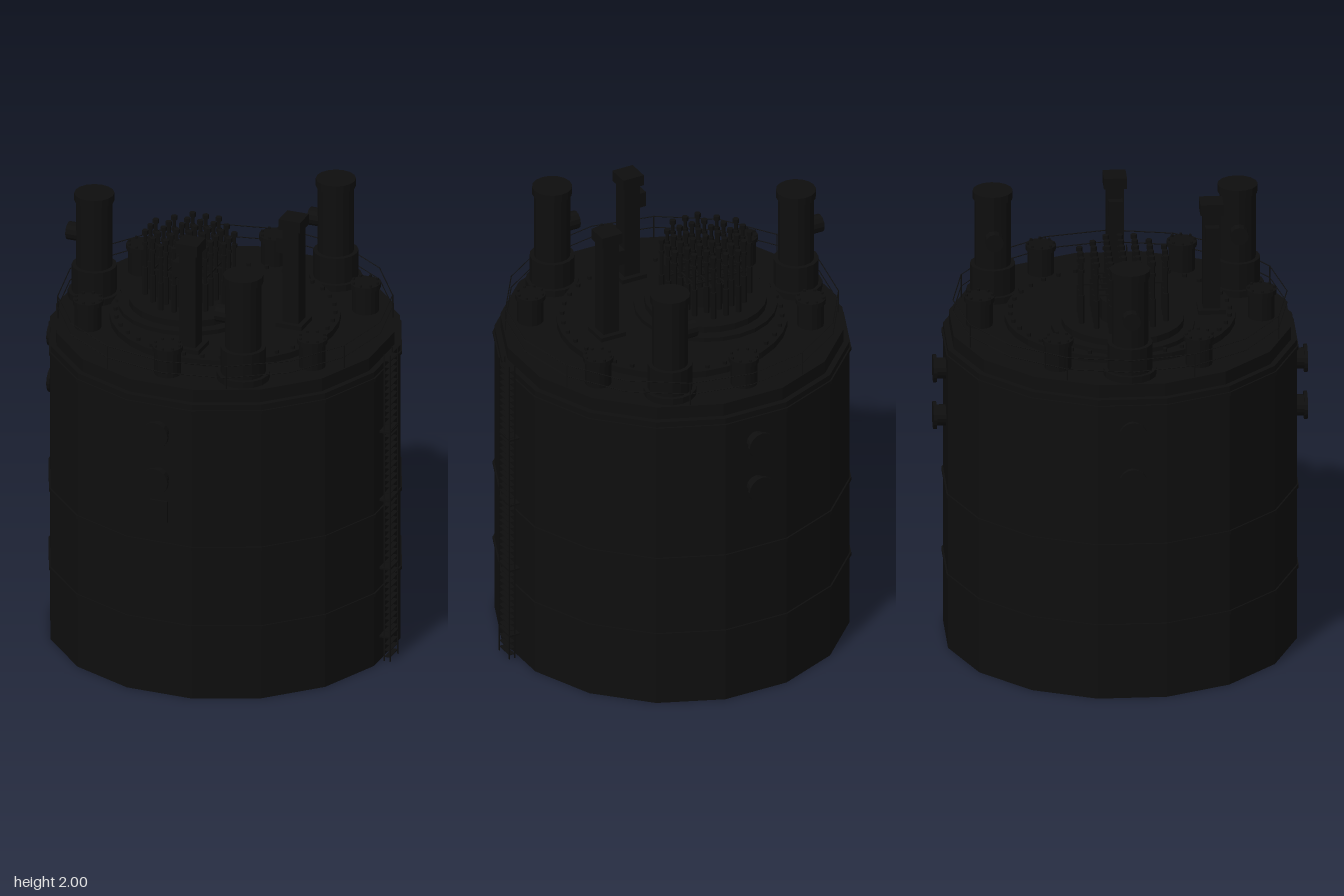
import * as THREE from 'three';

export function createModel() {
  const model = new THREE.Group();
  model.name = 'reactorVessel';
  const black = new THREE.MeshStandardMaterial({ color: 0x0e0e0e, flatShading: true });
  black.name = 'charcoal';

  const add = (name, geo, x = 0, y = 0, z = 0, parent = model) => {
    const m = new THREE.Mesh(geo, black);
    m.name = name;
    m.position.set(x, y, z);
    parent.add(m);
    return m;
  };
  const group = (name, x = 0, y = 0, z = 0) => {
    const g = new THREE.Group();
    g.name = name;
    g.position.set(x, y, z);
    model.add(g);
    return g;
  };
  // upright cylinder from y0 to y1
  const cyl = (name, r, y0, y1, x = 0, z = 0, sides = 16, parent = model) =>
    add(name, new THREE.CylinderGeometry(r, r, y1 - y0, sides), x, (y0 + y1) / 2, z, parent);
  const box = (name, w, h, d, x, y, z, parent = model) =>
    add(name, new THREE.BoxGeometry(w, h, d), x, y, z, parent);

  // sixteen-sided shell with flats facing the axes
  const half = Math.PI / 16;
  const shell = (name, apothem, y0, y1) => {
    cyl(name, apothem / Math.cos(half), y0, y1).rotation.y = half;
  };
  shell('vesselBody', 0.755, 0, 1.4);
  shell('topStep', 0.73, 1.4, 1.46);
  for (const y of [0.34, 0.715, 1.365]) shell('shellBand', 0.762, y - 0.008, y + 0.008);

  // bolted deck cover and offset plug
  cyl('deckCover', 0.5, 1.46, 1.49, 0, 0, 32);
  for (let i = 0; i < 36; i++) {
    const a = (i / 36) * Math.PI * 2;
    cyl('coverBolt', 0.01, 1.49, 1.505, 0.475 * Math.cos(a), 0.475 * Math.sin(a), 6);
  }
  const px = -0.165;
  cyl('plugRing', 0.31, 1.46, 1.51, px, 0, 24);
  cyl('plug', 0.265, 1.51, 1.54, px, 0, 24);
  cyl('plugHub', 0.1, 1.54, 1.635, px, 0, 16);

  // control rod drives on a round grid, with a guide plate
  for (let i = -3; i <= 3; i++) {
    for (let j = -3; j <= 3; j++) {
      if (i * i + j * j > 10) continue;
      const g = group('controlRod', px + i * 0.061, 0, j * 0.061);
      cyl('rodHousing', 0.013, 1.54, 1.67, 0, 0, 6, g);
      cyl('rodShaft', 0.008, 1.67, 1.84, 0, 0, 6, g);
      cyl('rodCollar', 0.013, 1.775, 1.79, 0, 0, 6, g);
      cyl('rodHead', 0.014, 1.825, 1.845, 0, 0, 6, g);
    }
  }
  for (let i = -3; i <= 3; i++) {
    const len = 0.122 * Math.sqrt(10 - i * i) - 0.01;
    const n = 2 * Math.floor(len / 0.122) * 0.061;
    box('guideBarX', n, 0.008, 0.006, px, 1.693, i * 0.061);
    box('guideBarZ', 0.006, 0.008, n, px + i * 0.061, 1.693, 0);
  }

  // tall round pump stacks with a side port
  for (const [x, z] of [[-0.61, 0], [0.3, 0.53], [0.3, -0.53]]) {
    const g = group('pumpStack', x, 0, z);
    cyl('stackFoot', 0.115, 1.46, 1.49, 0, 0, 16, g);
    cyl('stackBase', 0.098, 1.49, 1.61, 0, 0, 16, g);
    cyl('stackTube', 0.079, 1.61, 1.92, 0, 0, 16, g);
    cyl('stackCap', 0.087, 1.915, 1.95, 0, 0, 16, g);
    add('stackPort', new THREE.CylinderGeometry(0.04, 0.04, 0.06, 12), -0.09, 1.75, 0, g)
      .rotation.z = Math.PI / 2;
  }

  // square vent shafts
  for (const [x, z] of [[0, 0.395], [0.32, 0]]) {
    const g = group('ventShaft', x, 0, z);
    box('ventFoot', 0.12, 0.05, 0.12, 0, 1.485, 0, g);
    box('ventColumn', 0.076, 0.46, 0.076, 0, 1.73, 0, g);
    box('ventHead', 0.1, 0.05, 0.1, 0, 1.975, 0, g);
    box('ventPort', 0.04, 0.07, 0.06, -0.052, 1.865, 0, g);
  }

  // low drums with bolted lids
  for (const [x, z] of [[-0.02, 0.61], [0.53, 0.305], [-0.515, 0.305]]) {
    for (const s of [-1, 1]) {
      const g = group('drum', x, 0, z * s);
      cyl('drumBody', 0.058, 1.46, 1.57, 0, 0, 16, g);
      cyl('drumLid', 0.066, 1.57, 1.592, 0, 0, 16, g);
      for (let i = 0; i < 8; i++) {
        const a = (i / 8) * Math.PI * 2;
        cyl('lidBolt', 0.006, 1.592, 1.602, 0.056 * Math.cos(a), 0.056 * Math.sin(a), 6, g);
      }
    }
  }

  // paired wall nozzles on the front, back and right
  for (const a of [0, Math.PI, -Math.PI / 2]) {
    const g = group('wallNozzles');
    g.rotation.y = a;
    for (const y of [1.03, 1.25]) {
      const tube = (name, r, z0, z1) => {
        add(name, new THREE.CylinderGeometry(r, r, z1 - z0, 16), 0, y, (z0 + z1) / 2, g)
          .rotation.x = Math.PI / 2;
      };
      tube('nozzlePipe', 0.046, 0.73, 0.8);
      tube('nozzleFlange', 0.061, 0.795, 0.81);
    }
  }
  box('wallPlate', 0.08, 0.1, 0.009, 0, 0.87, 0.759);

  // thin guard rail
  const R = 0.723;
  for (const y of [1.513, 1.567]) {
    const ring = add('guardRail', new THREE.TorusGeometry(R, 0.0025, 4, 16), 0, y, 0);
    ring.rotation.x = Math.PI / 2;
  }
  for (let i = 0; i < 8; i++) {
    const a = ((i + 0.5) / 8) * Math.PI * 2;
    cyl('railPost', 0.003, 1.46, 1.569, R * Math.cos(a), R * Math.sin(a), 6);
  }

  // side ladder with treads and wall brackets
  const lz = 0.04;
  for (const dz of [-0.045, 0.045]) {
    for (const x of [0.777, 0.803]) box('ladderRail', 0.005, 1.46, 0.005, x, 0.73, lz + dz);
  }
  for (let i = 0; i < 48; i++) box('ladderTread', 0.026, 0.003, 0.09, 0.79, 0.02 + i * 0.03, lz);
  for (const y of [0.115, 0.44, 0.765, 1.09]) box('ladderBracket', 0.055, 0.009, 0.1, 0.777, y, lz);

  return model;
}
